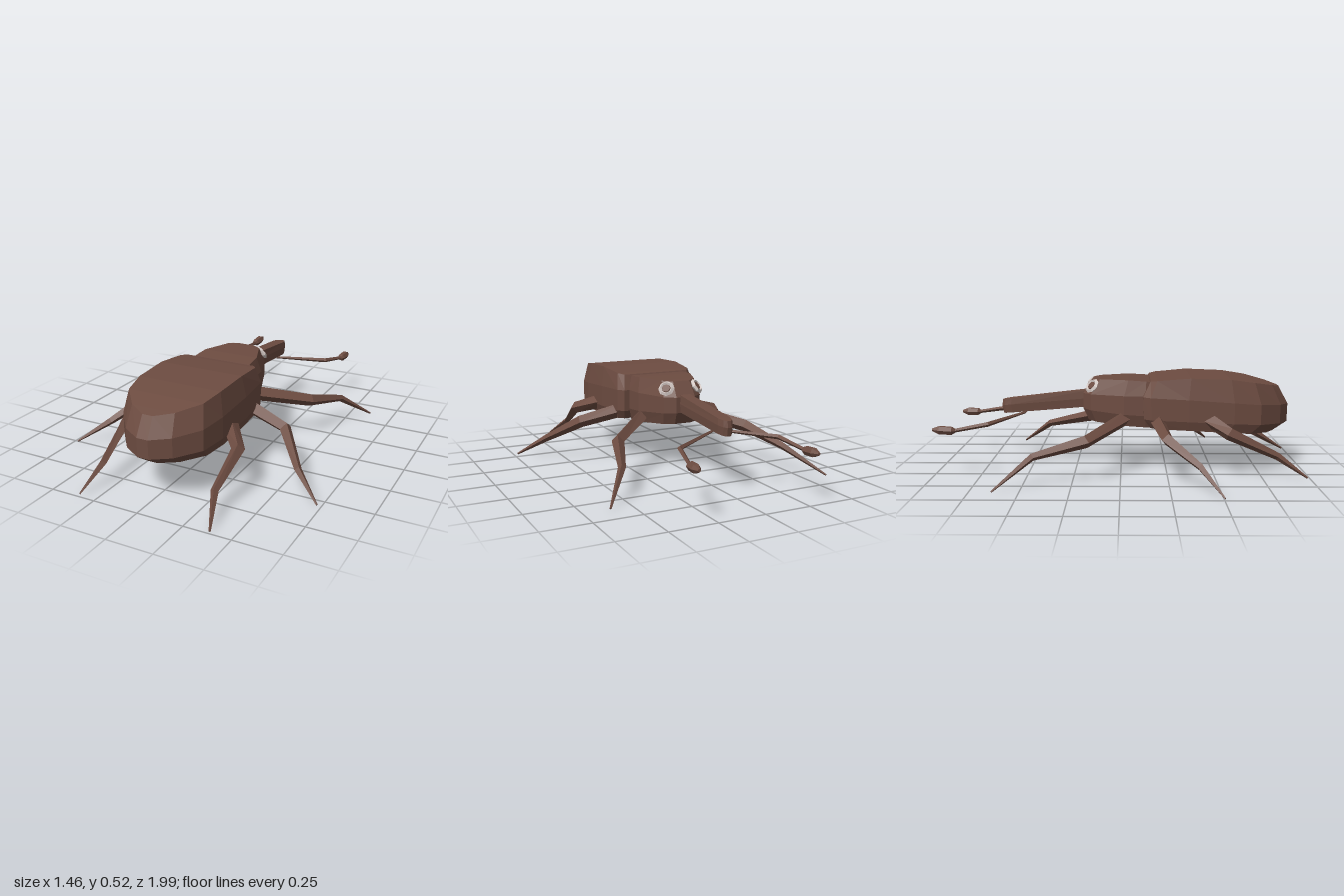
import * as THREE from 'three';

const brown = new THREE.MeshStandardMaterial({ color: 0x6d4c41 });
const pale = new THREE.MeshStandardMaterial({ color: 0xd7ccc8 });
brown.name = 'shellBrown';
pale.name = 'eyeRimPale';

const lerp = THREE.MathUtils.lerp;

function meshFrom(triangles, name) {
  const geometry = new THREE.BufferGeometry().setFromPoints(triangles);
  geometry.computeVertexNormals(); // unshared corners give flat facets
  const mesh = new THREE.Mesh(geometry, brown);
  mesh.name = name;
  return mesh;
}

// Quadratic through values at t = 0, 0.5 and 1
function arc([a, m, b], t) {
  return a * (1 - t) * (1 - 2 * t) + 4 * m * t * (1 - t) + b * t * (2 * t - 1);
}

// Shell made of stacked plan outlines, mirrored in x.
// outline: [width share, length share]; levels: { w, z: [start, end], y: [start, middle, end] }
function shell(name, outline, levels) {
  const tris = [];
  const forward = levels[0].z[1] > levels[0].z[0];
  const tri = (a, b, c) => tris.push(a, ...(forward ? [b, c] : [c, b]));
  const n = outline.length;
  const rings = levels.map(({ w, z, y }) => {
    const side = (s) => outline.map(([x, f]) => new THREE.Vector3(s * x * w, arc(y, f), lerp(z[0], z[1], f)));
    return [...side(1), ...side(-1).reverse()];
  });
  for (let l = 0; l < rings.length - 1; l++) {
    const lo = rings[l], hi = rings[l + 1];
    for (let i = 0; i < 2 * n; i++) {
      const j = (i + 1) % (2 * n);
      tri(lo[i], hi[i], hi[j]);
      tri(lo[i], hi[j], lo[j]);
    }
  }
  // Belly and back: strips from side to side
  const top = rings[rings.length - 1], bottom = rings[0];
  for (let i = 0; i < n - 1; i++) {
    const a = 2 * n - 1 - i, b = a - 1;
    tri(top[a], top[b], top[i + 1]);
    tri(top[a], top[i + 1], top[i]);
    tri(bottom[a], bottom[i + 1], bottom[b]);
    tri(bottom[a], bottom[i], bottom[i + 1]);
  }
  return meshFrom(tris, name);
}

// Jointed limb with tapering sections
function limb(name, points, radii, sides = 4) {
  const p = points.map((v) => new THREE.Vector3(...v));
  const up = new THREE.Vector3(0, 1, 0);
  const rings = p.map((c, i) => {
    const dir = new THREE.Vector3();
    if (i > 0) dir.add(c.clone().sub(p[i - 1]).normalize());
    if (i < p.length - 1) dir.add(p[i + 1].clone().sub(c).normalize());
    dir.normalize();
    const across = dir.clone().cross(up).normalize();
    const rise = across.clone().cross(dir);
    return Array.from({ length: sides }, (_, k) => {
      const a = (k / sides) * Math.PI * 2;
      return c.clone().addScaledVector(across, Math.cos(a) * radii[i]).addScaledVector(rise, Math.sin(a) * radii[i]);
    });
  });
  const tris = [];
  const last = p.length - 1;
  for (let k = 0; k < sides; k++) {
    const m = (k + 1) % sides;
    for (let i = 0; i < last; i++) {
      const A = rings[i], B = rings[i + 1];
      tris.push(A[k], B[k], B[m], A[k], B[m], A[m]);
    }
    tris.push(p[0], rings[0][k], rings[0][m], p[last], rings[last][m], rings[last][k]);
  }
  return meshFrom(tris, name);
}

function eye(side) {
  const group = new THREE.Group();
  group.name = side > 0 ? 'leftEye' : 'rightEye';
  const rim = new THREE.Mesh(new THREE.TorusGeometry(0.033, 0.012, 4, 8).toNonIndexed(), pale);
  rim.geometry.computeVertexNormals();
  rim.name = 'eyeRim';
  const pupil = new THREE.Mesh(new THREE.CylinderGeometry(0.022, 0.03, 0.016, 8).rotateX(Math.PI / 2), brown);
  pupil.name = 'pupil';
  group.add(rim, pupil);
  const normal = new THREE.Vector3(side * 0.52, 0.6, -0.6).normalize();
  group.quaternion.setFromUnitVectors(new THREE.Vector3(0, 0, 1), normal);
  group.position.set(side * 0.092, 0.465, -0.16);
  return group;
}

export function createModel() {
  const model = new THREE.Group();
  model.name = 'beetle';

  // Body
  model.add(
    shell('abdomen',
      [[0.4, 0], [0.84, 0], [0.95, 0.05], [1, 0.3], [0.98, 0.6], [0.88, 0.78], [0.5, 0.93], [0.12, 1]],
      [
        { w: 0.24, z: [0.16, 0.85], y: [0.25, 0.235, 0.207] },
        { w: 0.256, z: [0.125, 0.928], y: [0.3, 0.285, 0.26] },
        { w: 0.256, z: [0.12, 0.93], y: [0.42, 0.4, 0.36] },
        { w: 0.236, z: [0.16, 0.875], y: [0.503, 0.522, 0.46] },
      ]),
    shell('thoraxAndHead',
      [[0.4, 0], [0.95, 0], [1, 0.1], [0.96, 0.4], [0.6, 0.88], [0.3, 1]],
      [
        { w: 0.165, z: [0.17, -0.18], y: [0.245, 0.255, 0.27] },
        { w: 0.185, z: [0.17, -0.21], y: [0.31, 0.32, 0.335] },
        { w: 0.185, z: [0.17, -0.21], y: [0.42, 0.42, 0.42] },
        { w: 0.165, z: [0.17, -0.155], y: [0.495, 0.505, 0.5] },
      ]),
    shell('snout',
      [[0.9, 0], [1, 0.9], [0.72, 0.97], [0.3, 1]],
      [
        { w: 0.034, z: [-0.15, -0.662], y: [0.342, 0.325, 0.3] },
        { w: 0.038, z: [-0.15, -0.67], y: [0.39, 0.372, 0.345] },
        { w: 0.034, z: [-0.15, -0.665], y: [0.438, 0.41, 0.378] },
      ]),
    eye(1), eye(-1));

  // Legs: each side stands a little differently
  const legs = {
    leftFrontLeg: [[0.12, 0.3, 0.05], [0.39, 0.215, -0.19], [0.48, 0.15, -0.45], [0.615, 0.012, -0.625]],
    rightFrontLeg: [[-0.12, 0.3, 0.04], [-0.4, 0.215, -0.18], [-0.47, 0.15, -0.45], [-0.63, 0.012, -0.635]],
    leftMiddleLeg: [[0.17, 0.3, 0.2], [0.43, 0.235, 0.26], [0.58, 0.115, 0.44], [0.727, 0.01, 0.55]],
    rightMiddleLeg: [[-0.17, 0.3, 0.19], [-0.43, 0.235, 0.24], [-0.57, 0.125, 0.4], [-0.73, 0.01, 0.505]],
    leftRearLeg: [[0.22, 0.3, 0.47], [0.335, 0.245, 0.61], [0.32, 0.12, 0.82], [0.385, 0.012, 0.99]],
    rightRearLeg: [[-0.22, 0.3, 0.47], [-0.34, 0.245, 0.57], [-0.31, 0.12, 0.83], [-0.345, 0.012, 0.985]],
  };
  for (const [name, points] of Object.entries(legs)) model.add(limb(name, points, [0.042, 0.034, 0.02, 0.005]));

  // Antennae with clubbed tips
  const antennae = {
    leftAntenna: [[0.02, 0.305, -0.54], [0.285, 0.28, -0.69], [0.327, 0.248, -0.87], [0.335, 0.25, -0.97]],
    rightAntenna: [[-0.02, 0.305, -0.54], [-0.26, 0.28, -0.71], [-0.292, 0.25, -0.89], [-0.29, 0.257, -1]],
  };
  for (const [name, [root, elbow, wrist, tip]] of Object.entries(antennae)) {
    const along = (t) => root.map((_, i) => lerp(wrist[i], tip[i], t));
    model.add(
      limb(name, [root, elbow, wrist], [0.007, 0.013, 0.01]),
      limb(name + 'Club', [along(-0.1), along(0.05), along(0.65), tip], [0.012, 0.023, 0.024, 0.008], 6));
  }
  return model;
}
